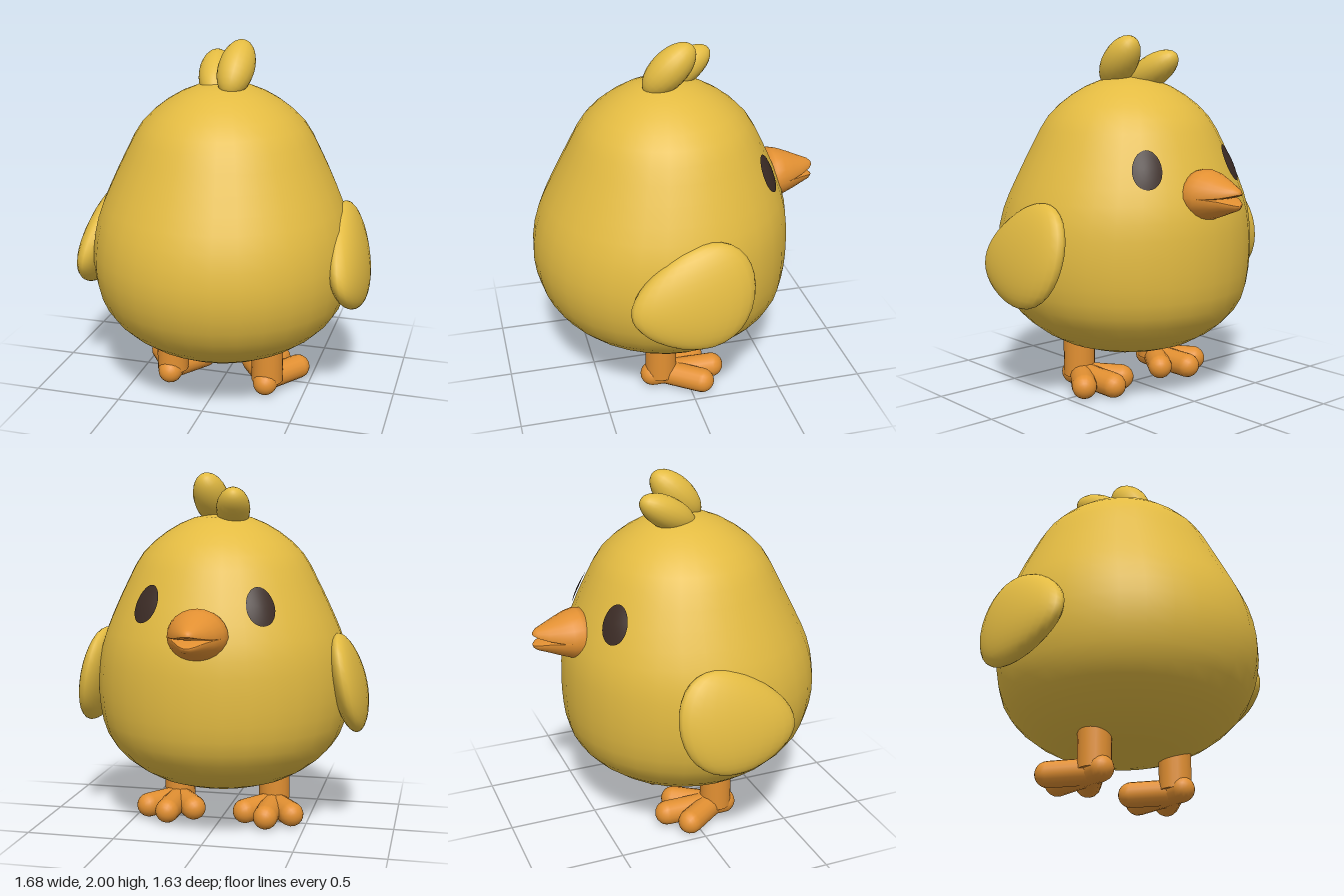
import * as THREE from 'three';
import { mergeVertices } from 'three/addons/utils/BufferGeometryUtils.js';

const V2 = (x, y) => new THREE.Vector2(x, y);
const V3 = (x, y, z) => new THREE.Vector3(x, y, z);

// Move every vertex by a rule, then weld and smooth
function reshape(geometry, rule) {
  const p = geometry.attributes.position;
  const v = new THREE.Vector3();
  for (let i = 0; i < p.count; i++) {
    v.fromBufferAttribute(p, i);
    rule(v);
    p.setXYZ(i, v.x, v.y, v.z);
  }
  geometry.deleteAttribute('uv');
  geometry.deleteAttribute('normal');
  const welded = mergeVertices(geometry, 1e-4);
  welded.computeVertexNormals();
  return welded;
}

// Body outline: radius against height
const profile = new THREE.SplineCurve([
  V2(0, 0.21), V2(0.2, 0.225), V2(0.4, 0.28), V2(0.57, 0.39), V2(0.675, 0.52), V2(0.72, 0.68),
  V2(0.727, 0.85), V2(0.7, 1.03), V2(0.635, 1.2), V2(0.54, 1.4), V2(0.455, 1.55),
  V2(0.32, 1.67), V2(0.16, 1.75), V2(0, 1.77),
]).getPoints(26);
profile[0].x = profile[26].x = 0;

function bodyRadius(y) {
  const i = Math.max(1, profile.findIndex((q) => q.y >= y));
  const a = profile[i - 1], b = profile[i];
  return a.x + (b.x - a.x) * (y - a.y) / (b.y - a.y);
}
// The belly sits a little further back than the head
const bodyShift = (y) => 0.05 + 0.038 * Math.exp(-(((y - 0.78) / 0.35) ** 2));

export function createModel() {
  const model = new THREE.Group();
  model.name = 'chick';
  const mat = (name, color) => {
    const m = new THREE.MeshStandardMaterial({ color });
    m.name = name;
    return m;
  };
  const yellow = mat('yellow down', 0xe3bb42);
  const orange = mat('orange skin', 0xe29032);
  const dark = mat('dark brown eye', 0x3b2b25);

  const add = (name, geometry, material, parent = model) => {
    const mesh = new THREE.Mesh(geometry, material);
    mesh.name = name;
    parent.add(mesh);
    return mesh;
  };

  // Body
  add('body', reshape(new THREE.LatheGeometry(profile, 32), (v) => { v.z += bodyShift(v.y); }), yellow);

  // Head tuft: two leaning ovals
  const tuft = (name, pos, size, lean, turn) => {
    const m = add(name, new THREE.SphereGeometry(1, 20, 14), yellow);
    m.scale.set(...size);
    m.position.set(...pos);
    m.rotation.set(-lean, turn, 0, 'YXZ');
  };
  tuft('tuftLarge', [0.067, 1.853, 0.045], [0.1, 0.18, 0.1], Math.PI / 4, -0.1);
  tuft('tuftSmall', [-0.08, 1.797, -0.06], [0.095, 0.19, 0.09], Math.PI / 3, 0.2);

  // Beak halves, parting towards the tip
  const beakProfile = [
    V2(0, 0), V2(0.15, 0), V2(0.165, 0.07), V2(0.152, 0.12), V2(0.122, 0.18),
    V2(0.085, 0.24), V2(0.045, 0.295), V2(0.02, 0.313), V2(0, 0.318),
  ];
  for (const up of [1, -1]) {
    const g = new THREE.LatheGeometry(beakProfile, 24).rotateX(-Math.PI / 2);
    add(up > 0 ? 'upperBeak' : 'lowerBeak', reshape(g, (v) => {
      const t = -v.z / 0.318;
      const outer = up > 0 ? 0.88 : 0.8;
      v.y = 1.15 + v.y * (v.y * up > 0 ? outer : 0.08) + up * 0.03 * t ** 4;
      v.z -= 0.5;
    }), orange);
  }

  for (const s of [1, -1]) {
    const side = s > 0 ? 'left' : 'right';

    // Eye: thin oval domed over the face
    add(side + 'Eye', reshape(new THREE.RingGeometry(0, 1, 28, 4), (v) => {
      const bulge = 1 - v.x * v.x - v.y * v.y;
      const y = 1.3 + 0.1 * v.y;
      const a = s * 0.55 - 0.135 * v.x;
      const r = bodyRadius(y) + 0.006 + 0.009 * bulge;
      v.set(Math.sin(a) * r, y, bodyShift(y) - Math.cos(a) * r);
    }), dark);

    // Wing: flattened oval narrowing to the tip, lower edge flared out
    add(side + 'Wing', reshape(new THREE.SphereGeometry(1, 24, 18), (v) => {
      const w = v.z;
      const dy = v.y * 0.27 * (1 - 0.27 * w);
      v.set(s * (0.725 - 0.2 * dy) + v.x * 0.1, 0.825 - 0.045 * w + dy, 0.075 + 0.335 * w);
    }), yellow);

    // Leg and foot
    const leg = new THREE.Group();
    leg.name = side + 'Leg';
    leg.position.x = s * 0.287;
    model.add(leg);
    const shank = add('shank', new THREE.CylinderGeometry(0.09, 0.09, 0.26, 20), orange, leg);
    shank.position.set(0, 0.2, 0.152);

    const rod = (name, a, b, r) => {
      const d = b.clone().sub(a);
      const m = add(name, new THREE.CapsuleGeometry(r, d.length(), 6, 16), orange, leg);
      m.position.copy(a).addScaledVector(d, 0.5);
      m.quaternion.setFromUnitVectors(V3(0, 1, 0), d.normalize());
    };
    const ankle = V3(0, 0.07, 0.13);
    rod('heel', ankle, V3(0, 0.07, 0.202), 0.07);
    rod('middleToe', ankle, V3(0, 0.07, -0.15), 0.07);
    rod('outerToe', ankle, V3(s * 0.135, 0.07, -0.06), 0.07);
    rod('innerToe', ankle, V3(s * -0.135, 0.07, -0.06), 0.07);
  }
  return model;
}
